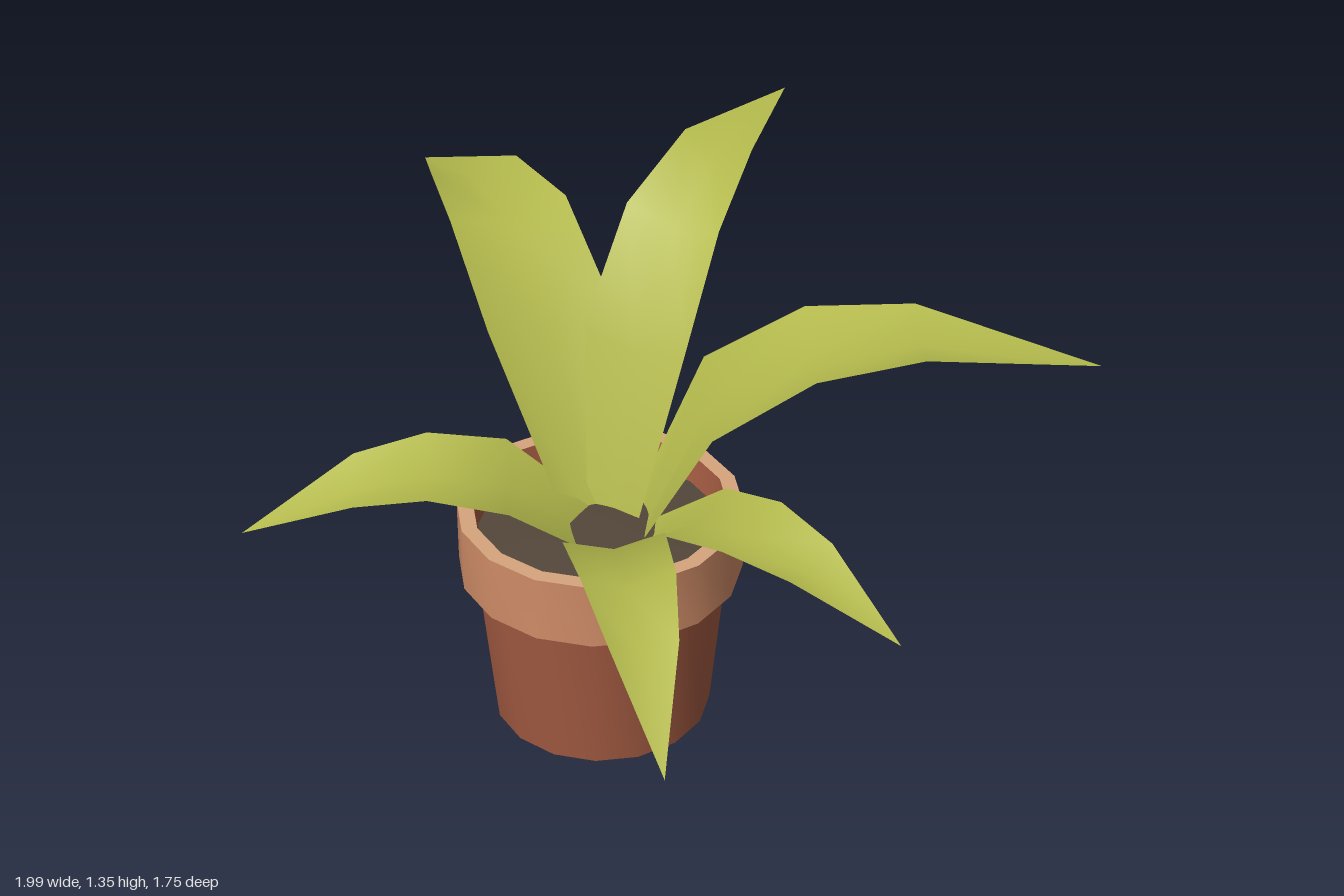
import * as THREE from 'three';
import { toCreasedNormals } from 'three/addons/utils/BufferGeometryUtils.js';

const mat = (name, color, extra = {}) => {
  const m = new THREE.MeshStandardMaterial({ color, ...extra });
  m.name = name;
  return m;
};

export function createModel() {
  const clay = mat('clay', 0xa35b42);
  const rimClay = mat('rim clay', 0xcf8c67);
  const paleClay = mat('pale clay', 0xd6a67e);
  const soilBrown = mat('soil brown', 0x54473b);
  const leafGreen = mat('leaf green', 0xb3b94c, { side: THREE.DoubleSide });

  const model = new THREE.Group();
  model.name = 'pottedPlant';

  // Turned pot parts, profiles run from the bottom outside upward
  const pot = new THREE.Group();
  pot.name = 'pot';
  pot.position.set(-0.09, 0, 0.09);
  model.add(pot);
  const turn = (name, material, profile) => {
    const pts = profile.map(([r, y]) => new THREE.Vector2(r, y));
    const geo = toCreasedNormals(new THREE.LatheGeometry(pts, 16), 0.7);
    const mesh = new THREE.Mesh(geo, material);
    mesh.name = name;
    pot.add(mesh);
  };
  turn('potBody', clay, [[0, 0], [0.28, 0], [0.32, 0.42]]);
  turn('rim', rimClay, [[0.315, 0.42], [0.36, 0.425], [0.36, 0.6]]);
  turn('rimTop', paleClay, [[0.36, 0.6], [0.32, 0.6]]);
  turn('innerWall', clay, [[0.32, 0.6], [0.305, 0.5]]);
  turn('soil', soilBrown, [[0.31, 0.525], [0.15, 0.535], [0, 0.54]]);

  // Leaf: V-shaped cross-sections along a bent spine; station = [x, y, z, halfWidth]
  const addLeaf = (name, stations, tilt = 0, fold = 0.04) => {
    const a = stations[0], b = stations[stations.length - 1];
    const dir = new THREE.Vector2(b[0] - a[0], b[2] - a[2]).normalize();
    const pos = [], index = [];
    stations.forEach(([x, y, z, w], i) => {
      for (const s of [-1, 0, 1]) {
        const drop = s === 0 && w > 0 ? fold : 0;
        const lift = w > 0 ? s * tilt : 0;
        pos.push(x - dir.y * w * s, y - drop + lift, z + dir.x * w * s);
      }
      if (i === 0) return;
      for (let k = 0; k < 2; k++) {
        const p = (i - 1) * 3 + k, q = p + 3;
        index.push(p, p + 1, q);
        if (w > 0) index.push(p + 1, q + 1, q);
      }
    });
    // Share one tip vertex so the point shades smoothly
    const tip = (stations.length - 1) * 3;
    const joined = index.map((v) => (v > tip ? tip : v));
    // Wind the faces so their fronts look upward
    for (let i = 0; i < joined.length; i += 3) {
      [joined[i + 1], joined[i + 2]] = [joined[i + 2], joined[i + 1]];
    }
    const geo = new THREE.BufferGeometry();
    geo.setAttribute('position', new THREE.Float32BufferAttribute(pos, 3));
    geo.setIndex(joined);
    geo.computeVertexNormals();
    const mesh = new THREE.Mesh(geo, leafGreen);
    mesh.name = name;
    model.add(mesh);
  };

  // Three tall leaves at the back
  addLeaf('backLeaf', [
    [-0.09, 0.5, 0.03, 0.07], [-0.08, 0.98, -0.09, 0.142], [-0.06, 1.24, -0.27, 0.13],
    [-0.045, 1.345, -0.51, 0.095], [-0.02, 1.33, -0.88, 0],
  ], -0.005, 0.03);
  addLeaf('backLeftLeaf', [
    [-0.03, 0.5, 0.02, 0.09], [0.125, 0.87, -0.08, 0.18], [0.345, 1.02, -0.195, 0.165],
    [0.585, 1.05, -0.315, 0.12], [0.99, 0.95, -0.51, 0],
  ], -0.01);
  addLeaf('backRightLeaf', [
    [-0.11, 0.5, 0.05, 0.08], [-0.33, 0.965, -0.125, 0.17], [-0.54, 1.135, -0.31, 0.16],
    [-0.725, 1.143, -0.47, 0.12], [-1, 1, -0.69, 0],
  ]);

  // Three low leaves at the front
  addLeaf('frontRightLeaf', [
    [-0.11, 0.52, 0.09, 0.09], [-0.29, 0.69, 0.2, 0.14], [-0.455, 0.74, 0.31, 0.122],
    [-0.62, 0.7, 0.39, 0.09], [-0.88, 0.54, 0.51, 0],
  ], 0.02, 0.03);
  addLeaf('frontLeaf', [
    [-0.05, 0.52, 0.15, 0.09], [0.055, 0.68, 0.31, 0.125], [0.185, 0.73, 0.5, 0.112],
    [0.295, 0.67, 0.65, 0.082], [0.45, 0.49, 0.87, 0],
  ], 0, 0.035);
  addLeaf('frontLeftLeaf', [
    [0.0, 0.52, 0.08, 0.08], [0.19, 0.68, 0.13, 0.11], [0.365, 0.73, 0.195, 0.11],
    [0.54, 0.71, 0.245, 0.077], [0.8, 0.6, 0.32, 0],
  ], -0.015, 0.03);

  return model;
}
